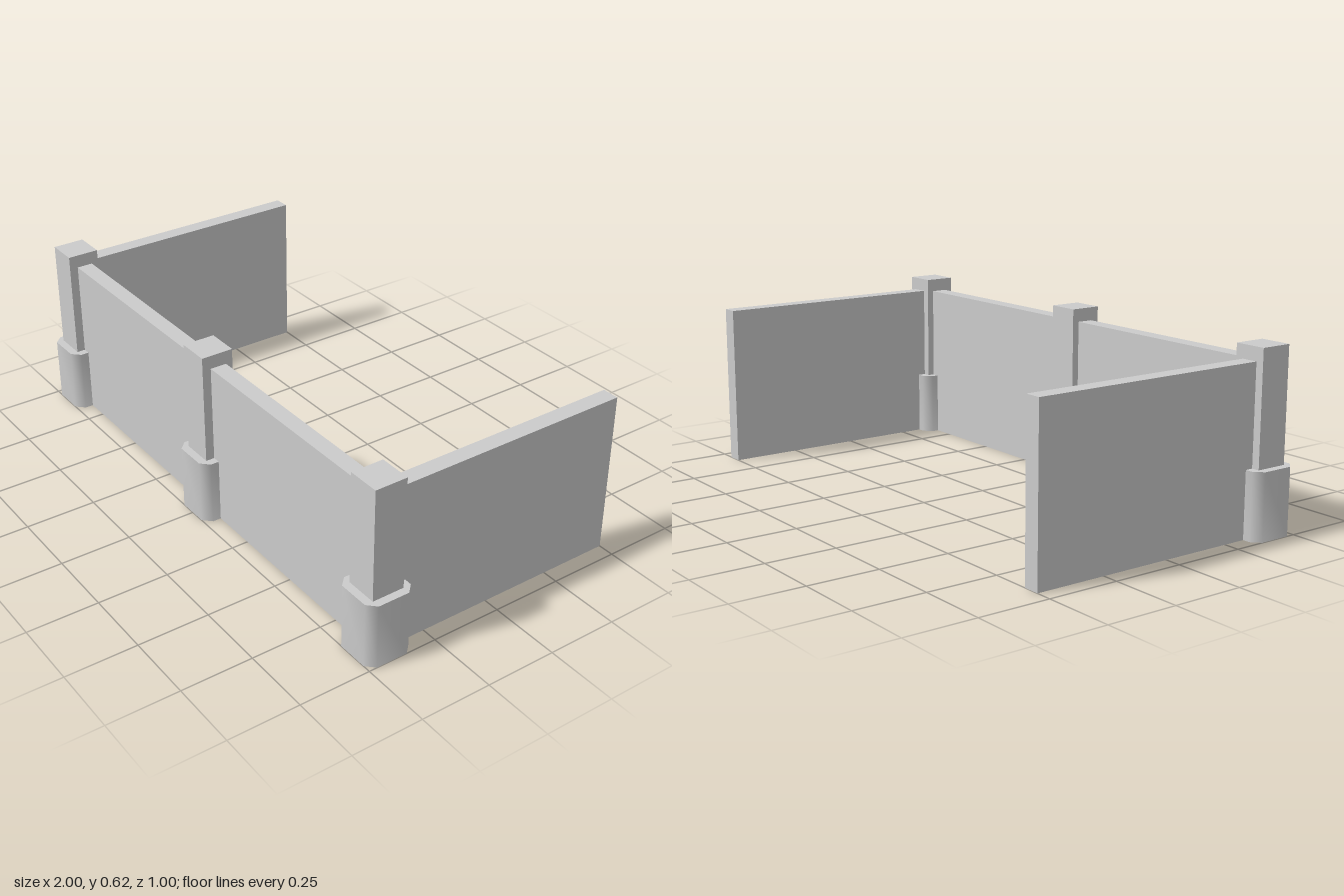
import * as THREE from 'three';
import { toCreasedNormals } from 'three/addons/utils/BufferGeometryUtils.js';

const material = new THREE.MeshStandardMaterial({ color: 0xcccccc });
const POST_X = 0.915, FRONT_Z = 0.415, WALL_H = 0.573, WALL_T = 0.058;

// Box standing on the ground, centred on (x, z)
function standingBox(name, w, h, d, x, z) {
  const mesh = new THREE.Mesh(new THREE.BoxGeometry(w, h, d), material);
  mesh.name = name;
  mesh.position.set(x, h / 2, z);
  return mesh;
}

// Square block with chamfered corners, shaded smoothly around the sides
function footingGeometry(half, chamfer, height) {
  const a = half, b = half - chamfer;
  const outline = [[a, -b], [a, b], [b, a], [-b, a], [-a, b], [-a, -b], [-b, -a], [b, -a]];
  const shape = new THREE.Shape(outline.map(([x, y]) => new THREE.Vector2(x, y)));
  const geometry = new THREE.ExtrudeGeometry(shape, { depth: height, bevelEnabled: false });
  geometry.rotateX(-Math.PI / 2);
  return toCreasedNormals(geometry, 1);
}

export function createModel() {
  const model = new THREE.Group();
  model.name = 'wallEnclosure';

  // Posts with their footings
  const footing = footingGeometry(0.085, 0.029, 0.23);
  for (const [side, x] of [['right', -POST_X], ['middle', 0], ['left', POST_X]]) {
    const base = new THREE.Mesh(footing, material);
    base.name = side + 'Footing';
    base.position.set(x, 0, FRONT_Z);
    model.add(base, standingBox(side + 'Post', 0.114, 0.62, 0.114, x, FRONT_Z));
  }

  // Front panels between the posts, and side walls running back from the corners
  for (const [side, s] of [['right', -1], ['left', 1]]) {
    model.add(standingBox(side + 'FrontPanel', POST_X, WALL_H, WALL_T, s * POST_X / 2, FRONT_Z - 0.003));
    const depth = FRONT_Z + 0.5;
    model.add(standingBox(side + 'SideWall', WALL_T, WALL_H, depth, s * POST_X, FRONT_Z - depth / 2));
  }
  return model;
}
